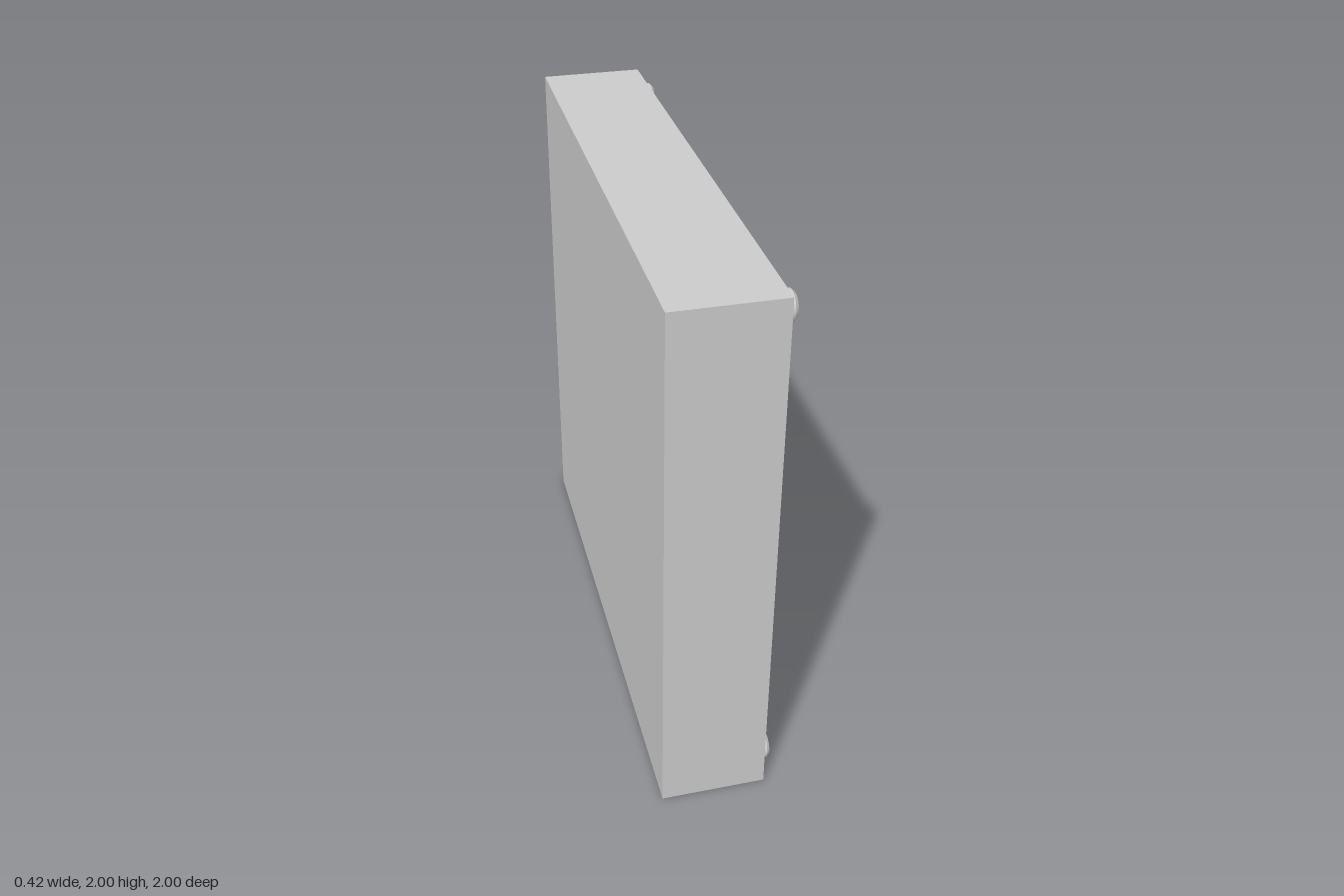
import * as THREE from 'three';

const BACK = -0.21, PANEL = 0.015, FRONT = 0.17;

function rect(target, halfZ, y0, y1) {
  target.moveTo(-halfZ, y0);
  target.lineTo(halfZ, y0);
  target.lineTo(halfZ, y1);
  target.lineTo(-halfZ, y1);
  target.closePath();
  return target;
}

export function createModel() {
  const model = new THREE.Group();
  model.name = 'louvreVent';
  const material = new THREE.MeshStandardMaterial({ color: 0xcccccc });

  function add(name, geometry, x = 0, y = 0, z = 0) {
    const mesh = new THREE.Mesh(geometry, material);
    mesh.name = name;
    mesh.position.set(x, y, z);
    model.add(mesh);
    return mesh;
  }

  // Solid rear housing, whose outer face closes the recess
  add('housing', new THREE.BoxGeometry(PANEL - BACK, 2, 2), (BACK + PANEL) / 2, 1, 0);

  // Frame with the rectangular opening, turned to face +x
  const outline = rect(new THREE.Shape(), 1, 0, 2);
  outline.holes.push(rect(new THREE.Path(), 0.8, 0.16, 1.85));
  const frame = new THREE.ExtrudeGeometry(outline, { depth: FRONT - PANEL, bevelEnabled: false });
  frame.rotateY(Math.PI / 2);
  add('frame', frame, PANEL);

  // Slats slope down and outward; y is measured from the upper front edge
  const section = new THREE.Shape([
    new THREE.Vector2(0, 0.11),
    new THREE.Vector2(0, 0.04),
    new THREE.Vector2(0.139, -0.05),
    new THREE.Vector2(0.169, 0),
  ]);
  const slat = new THREE.ExtrudeGeometry(section, { depth: 1.6, bevelEnabled: false });
  slat.translate(0, 0, -0.8);
  const slatHeights = [1.71, 1.54, 1.375, 1.21, 1.045, 0.88, 0.71, 0.54, 0.355, 0.17];
  slatHeights.forEach((y) => add('slat', slat, 0, y, 0));

  // Round screw heads with a chamfered rim; repeated points keep the edges sharp
  const profile = [[0.052, -0.01], [0.052, 0.027], [0.052, 0.027], [0.042, 0.038], [0.042, 0.038], [0, 0.038]];
  const screw = new THREE.LatheGeometry(profile.map(([r, h]) => new THREE.Vector2(r, h)), 32);
  screw.rotateZ(-Math.PI / 2);
  for (const y of [0.08, 1.92]) {
    for (const z of [-0.9, 0.9]) add('screwHead', screw, FRONT, y, z);
  }

  return model;
}
